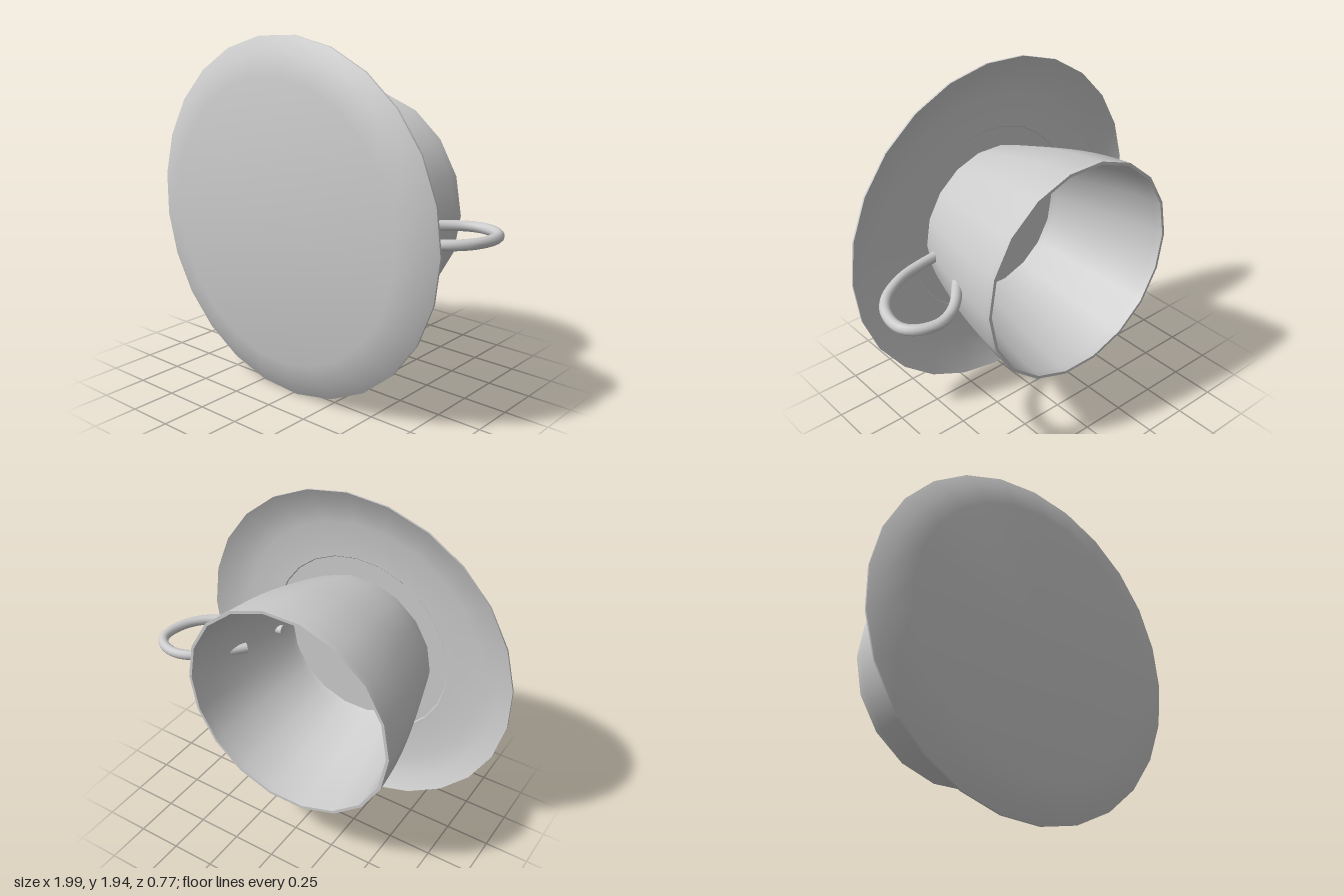
import * as THREE from 'three';
import { toCreasedNormals } from 'three/addons/utils/BufferGeometryUtils.js';

const CENTRE_X = -0.034, CENTRE_Y = 0.975;

// Turned part whose axis points along z; profile points are [radius, z]
function turned(name, profile, sides, material) {
  const points = profile.map(([r, z]) => new THREE.Vector2(r, -z));
  const lathe = new THREE.LatheGeometry(points, sides, Math.PI / 2);
  lathe.rotateX(-Math.PI / 2);
  const mesh = new THREE.Mesh(toCreasedNormals(lathe, 0.6), material);
  mesh.name = name;
  mesh.position.set(CENTRE_X, CENTRE_Y, 0);
  return mesh;
}

export function createModel() {
  const group = new THREE.Group();
  group.name = 'cupAndSaucer';
  const material = new THREE.MeshStandardMaterial({ color: 0xcccccc, side: THREE.DoubleSide });

  // Saucer: underside out to the rim, then back over the dish to a shallow well
  group.add(turned('saucer', [
    [0, 0.387], [0.765, 0.387], [0.885, 0.356], [0.971, 0.307],
    [0.971, 0.296], [0.88, 0.342], [0.765, 0.37],
    [0.56, 0.37], [0.555, 0.375], [0, 0.375],
  ], 25, material));

  // Cup: flared outer wall, rim, inner wall and floor
  const wall = new THREE.SplineCurve([
    [0.452, 0.373], [0.482, 0.29], [0.53, 0.13], [0.577, -0.05], [0.609, -0.22], [0.628, -0.388],
  ].map(([r, z]) => new THREE.Vector2(r, z))).getPoints(14).map(p => [p.x, p.y]);
  const inner = wall.slice(1).reverse().map(([r, z]) => [r - 0.017, z]);
  const cup = turned('cup', [[0, 0.373], ...wall, ...inner, [0.45, 0.355], [0, 0.355]], 18, material);
  cup.scale.y = 0.99;
  group.add(cup);

  // Handle: a round loop whose ends run through the cup wall
  const path = new THREE.CatmullRomCurve3([
    [0.49, 0.0], [0.545, -0.065], [0.63, -0.165], [0.72, -0.235], [0.81, -0.26], [0.90, -0.235],
    [0.95, -0.185], [0.963, -0.11], [0.935, 0.0], [0.875, 0.085], [0.79, 0.15], [0.68, 0.205],
    [0.56, 0.235], [0.42, 0.256],
  ].map(([x, z]) => new THREE.Vector3(x, CENTRE_Y, z)));
  const handle = new THREE.Group();
  handle.name = 'handle';
  const tube = new THREE.Mesh(new THREE.TubeGeometry(path, 48, 0.029, 12), material);
  tube.name = 'handleLoop';
  handle.add(tube);
  for (const t of [0, 1]) {
    const cap = new THREE.Mesh(new THREE.CircleGeometry(0.029, 12), material);
    cap.name = 'handleEnd';
    cap.position.copy(path.getPointAt(t));
    cap.lookAt(cap.position.clone().addScaledVector(path.getTangentAt(t), t ? 1 : -1));
    handle.add(cap);
  }
  group.add(handle);

  return group;
}
